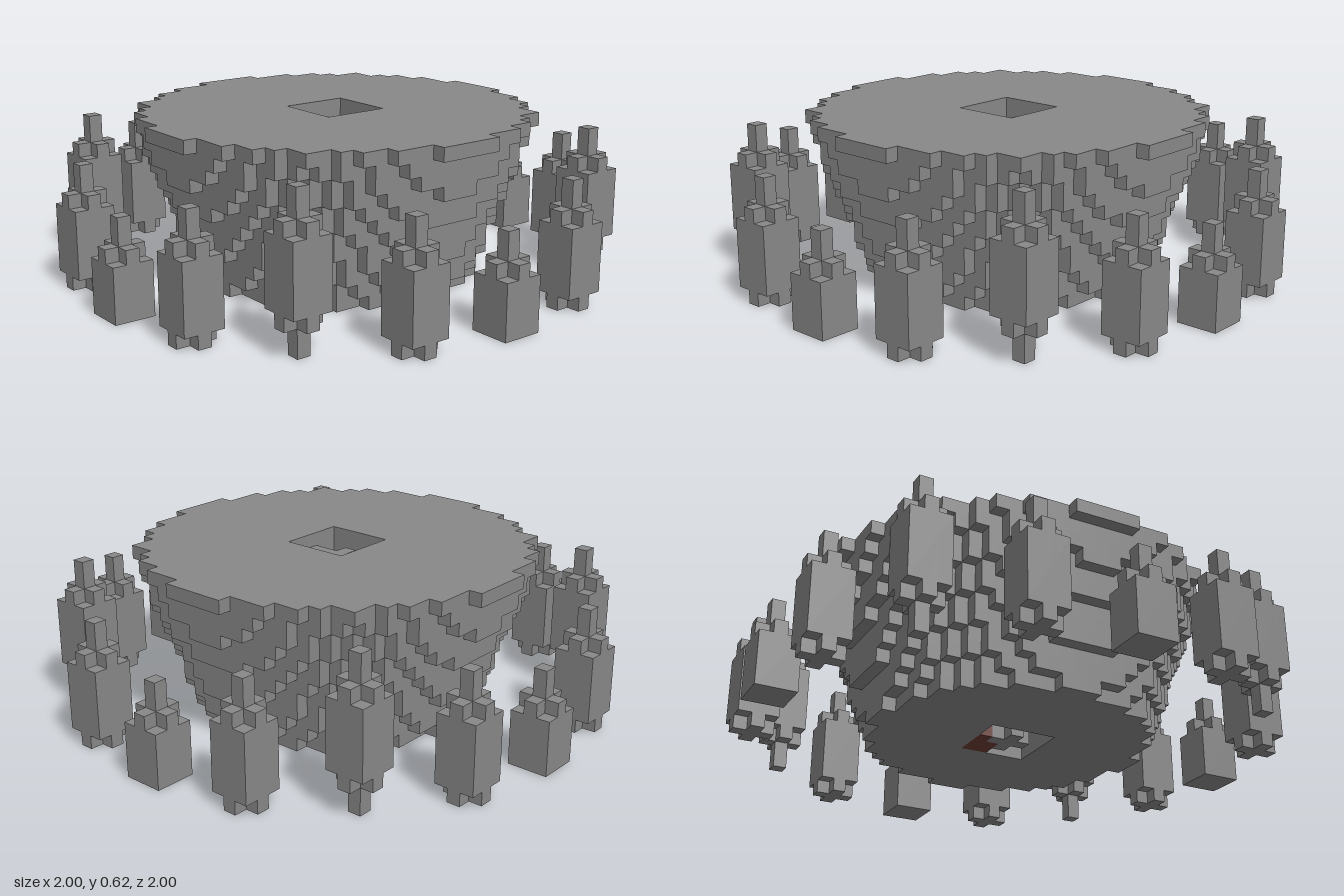
import * as THREE from 'three';
import { mergeGeometries } from 'three/addons/utils/BufferGeometryUtils.js';

const U = 2 / 39; // one block
const LAYERS = 12;

// Box given in block units: x/z ranges of block indices, y from layer y0 up to y1
function blocks(x0, x1, y0, y1, z0, z1) {
  const g = new THREE.BoxGeometry(x1 - x0 + 1, y1 - y0, z1 - z0 + 1);
  return g.translate((x0 + x1) / 2, (y0 + y1) / 2, (z0 + z1) / 2);
}

// One stepped disc layer with the square shaft cut out
function discLayer(radius, y) {
  const n = Math.floor(radius);
  const upper = [];
  for (let x = -n; x <= n; x++) {
    const h = Math.floor(Math.sqrt(radius * radius - x * x)) + 0.5;
    for (const px of [x - 0.5, x + 0.5]) {
      const last = upper[upper.length - 1];
      if (!last || last.x !== px || last.y !== h) upper.push(new THREE.Vector2(px, h));
    }
  }
  const lower = upper.map((p) => new THREE.Vector2(-p.x, -p.y));
  const shape = new THREE.Shape([...upper, ...lower]);
  const s = 2.5;
  shape.holes.push(new THREE.Path([[-s, -s], [s, -s], [s, s], [-s, s]].map((p) => new THREE.Vector2(...p))));
  const g = new THREE.ExtrudeGeometry(shape, { depth: 1, bevelEnabled: false });
  return g.rotateX(-Math.PI / 2).translate(0, y, 0);
}

// Floating crystal-like pillar: square core, cross-shaped shoulders, thin tips, cut off at the ground
function pillarGeometry(base) {
  const at = (y) => Math.max(0, y);
  return mergeGeometries([
    blocks(-1, 1, at(base), base + 5, -1, 1),
    blocks(-1, 1, at(base - 1), base + 6, 0, 0),
    blocks(0, 0, at(base - 1), base + 6, -1, 1),
    blocks(0, 0, at(base - 3), base + 8, 0, 0),
  ]);
}

export function createModel() {
  const stone = new THREE.MeshStandardMaterial({ color: 0x888888 });
  const wood = new THREE.MeshStandardMaterial({ color: 0x6e3b34 });
  stone.name = 'stone grey';
  wood.name = 'brown wood';

  const model = new THREE.Group();
  model.name = 'blockPlatform';
  const add = (name, geometry, material, x = 0, z = 0) => {
    const mesh = new THREE.Mesh(geometry, material);
    mesh.name = name;
    mesh.position.set(x, 0, z);
    model.add(mesh);
  };

  // Flaring round platform
  const layers = [];
  for (let y = 0; y < LAYERS; y++) layers.push(discLayer(10.15 + (y * 4) / 11, y));
  add('platform', mergeGeometries(layers), stone);

  // Stair post and top landing in the shaft
  add('stairPost', mergeGeometries([
    blocks(-1, 1, 0, 11, 0, 0),
    blocks(0, 0, 0, 11, -1, 1),
  ]), stone);
  add('stairLanding', blocks(2, 2, 10, 11, 0, 0), stone);

  // Spiral steps: x0, x1, layer, z0, z1
  const steps = [
    [-2, -2, 0, 0, 0], [-2, -1, 0, -2, -1], [0, 0, 1, -2, -2],
    [1, 2, 2, -2, -1], [2, 2, 3, 0, 0], [1, 2, 4, 1, 2],
  ];
  for (const [x0, x1, y, z0, z1] of steps) add('stairStep', blocks(x0, x1, y, y + 1, z0, z1), wood);

  // Ring of sixteen pillars: x, z, core base layer; each quarter turn repeats the set
  const ring = [[18, 0, -1], [17, 7, 1], [13, 13, 3], [7, 17, 1]];
  for (const [x, z, base] of ring) {
    const geometry = pillarGeometry(base);
    for (const [px, pz] of [[x, z], [-z, x], [-x, -z], [z, -x]]) add('ringPillar', geometry, stone, px, pz);
  }

  model.scale.setScalar(U);
  const root = new THREE.Group();
  root.name = 'model';
  root.add(model);
  return root;
}
